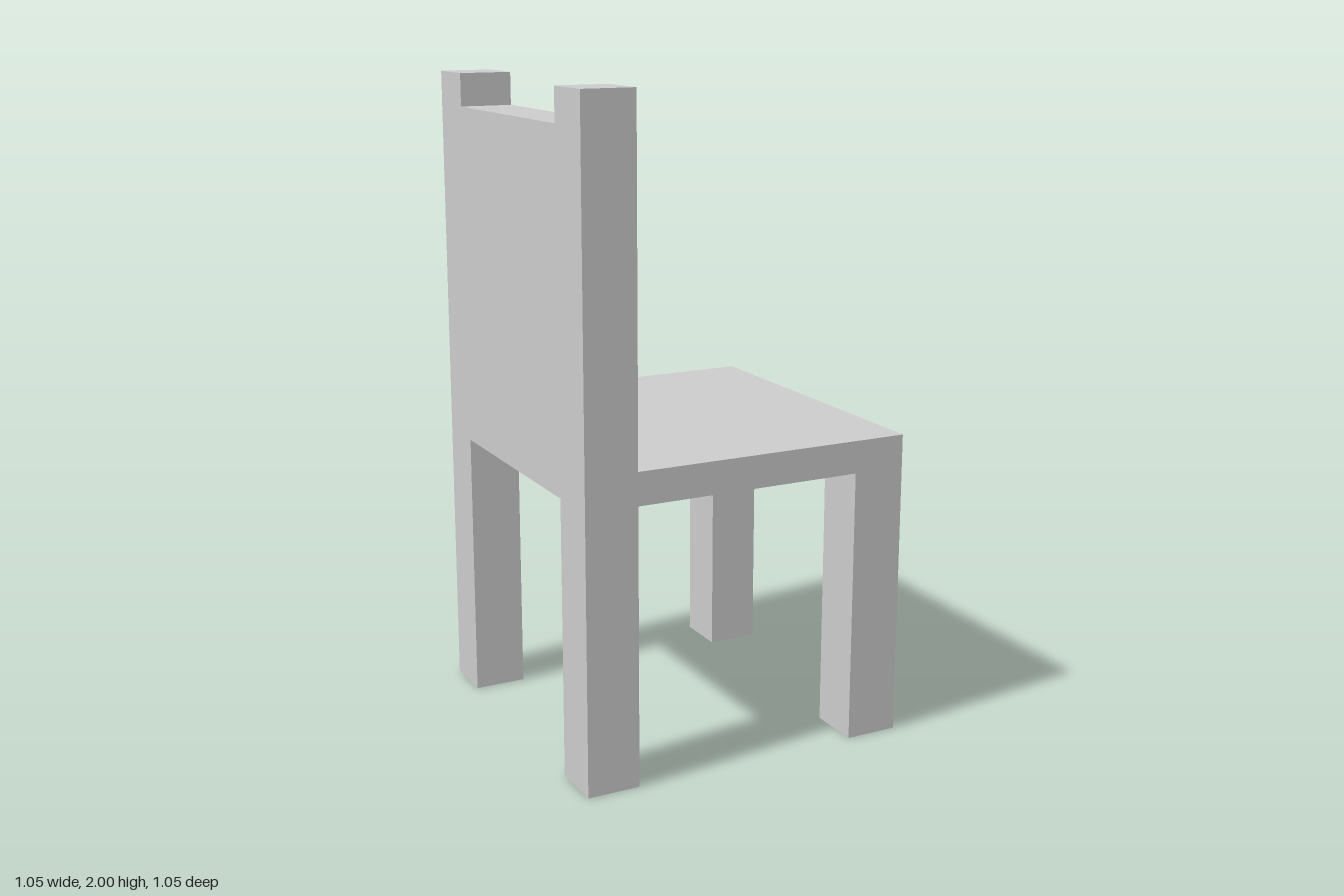
import * as THREE from 'three';

export function createModel() {
  const group = new THREE.Group();
  const material = new THREE.MeshStandardMaterial({ color: 0xcccccc, flatShading: true });

  // Box between two corners
  const block = (name, [x0, y0, z0], [x1, y1, z1]) => {
    const mesh = new THREE.Mesh(new THREE.BoxGeometry(x1 - x0, y1 - y0, z1 - z0), material);
    mesh.position.set((x0 + x1) / 2, (y0 + y1) / 2, (z0 + z1) / 2);
    mesh.name = name;
    group.add(mesh);
  };

  const half = 0.525, inner = 0.357;   // outer and inner faces of the legs
  const seatBottom = 0.85, seatTop = 0.95;

  // Seat slab, running from the backrest to the outer edge of the legs
  block('seat', [-0.362, seatBottom, -half], [half - 0.003, seatTop, half]);

  // Backrest panel between the posts, as thick as they are
  block('backrest', [-half, seatBottom, -inner], [-0.362, 1.9, inner]);

  // Tall posts that form the rear legs, and short legs under the seat edge
  for (const [side, z0, z1] of [['Left', -half, -inner], ['Right', inner, half]]) {
    block('backPost' + side, [-half, 0, z0], [-0.362, 2, z1]);
    block('seatLeg' + side, [inner, 0, z0], [half - 0.003, seatBottom, z1]);
  }

  return group;
}
